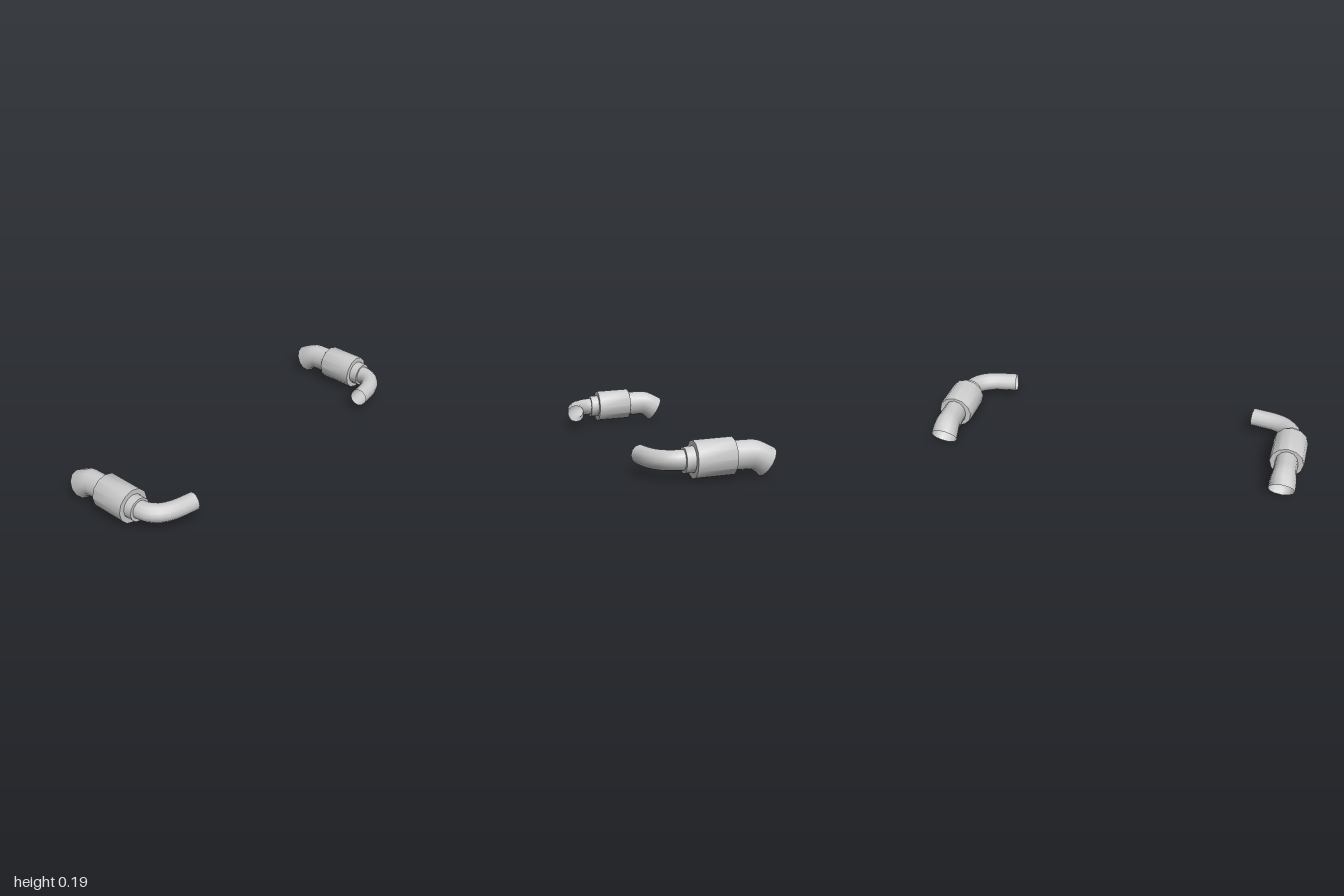
import * as THREE from 'three';
import { toCreasedNormals } from 'three/addons/utils/BufferGeometryUtils.js';

const SIDES = 12;
const AXIS_X = 0.909; // distance of each silencer from the centre line
const material = new THREE.MeshStandardMaterial({ color: 0xcccccc, side: THREE.DoubleSide });

// Skin a row of elliptical rings { c, u, v }; side -1 mirrors the result in x
function loft(name, rings, side) {
  const positions = [], index = [];
  for (const { c, u, v } of rings) {
    for (let j = 0; j < SIDES; j++) {
      const a = side * j / SIDES * Math.PI * 2;
      const p = c.clone().addScaledVector(u, Math.cos(a)).addScaledVector(v, Math.sin(a));
      positions.push(p.x * side, p.y, p.z);
    }
  }
  for (let i = 0; i < rings.length - 1; i++) {
    for (let j = 0; j < SIDES; j++) {
      const k = (j + 1) % SIDES;
      const a = i * SIDES + j, b = i * SIDES + k;
      index.push(a, a + SIDES, b + SIDES, a, b + SIDES, b);
    }
  }
  const geometry = new THREE.BufferGeometry();
  geometry.setAttribute('position', new THREE.Float32BufferAttribute(positions, 3));
  geometry.setIndex(index);
  const mesh = new THREE.Mesh(toCreasedNormals(geometry, 0.75), material);
  mesh.name = name;
  return mesh;
}

// Ring across the silencer axis, from its top and bottom points (z, y) and half width
function ring(topZ, topY, bottomZ, bottomY, halfWidth) {
  return {
    c: new THREE.Vector3(AXIS_X, (topY + bottomY) / 2, (topZ + bottomZ) / 2),
    u: new THREE.Vector3(halfWidth, 0, 0),
    v: new THREE.Vector3(0, (topY - bottomY) / 2, (topZ - bottomZ) / 2),
  };
}
const upright = (z, y, r) => ring(z, y + r, z, y - r, r);

// Inlet pipe: starts open near the centre line and bends back into the collar
function inletRings() {
  const curve = new THREE.CatmullRomCurve3([
    [0.68, 0.088, 0.269], [0.735, 0.088, 0.26], [0.8, 0.089, 0.247], [0.862, 0.091, 0.217],
    [0.899, 0.094, 0.17], [0.907, 0.095, 0.125], [0.908, 0.096, 0.09],
  ].map((p) => new THREE.Vector3(...p)));
  const up = new THREE.Vector3(0, 1, 0);
  const rings = [];
  for (let i = 0; i <= 12; i++) {
    const d = curve.getTangent(i / 12).setY(0).normalize();
    const r = 0.048 + 0.002 * i / 12;
    rings.push({
      c: curve.getPoint(i / 12),
      u: d.cross(up).multiplyScalar(r - 0.001),
      v: up.clone().multiplyScalar(r),
    });
  }
  return rings;
}

function exhaust(side) {
  const group = new THREE.Group();
  group.name = side > 0 ? 'leftExhaust' : 'rightExhaust';

  group.add(loft('inletPipe', inletRings(), side));

  // Stepped collar in front of the silencer
  group.add(loft('collar', [
    upright(0.13, 0.0945, 0.047), upright(0.13, 0.0945, 0.063), upright(0.08, 0.0965, 0.064),
  ], side));

  // Silencer drum, tilted slightly upward to the rear
  group.add(loft('silencer', [
    upright(0.085, 0.0955, 0.058), upright(0.085, 0.0955, 0.091),
    upright(-0.104, 0.103, 0.091), upright(-0.108, 0.103, 0.088), upright(-0.108, 0.103, 0.056),
  ], side));

  // Tail pipe turned down and cut off at a slant, open at the end
  group.add(loft('tailPipe', [
    ring(-0.1, 0.175, -0.1, 0.032, 0.06),
    ring(-0.195, 0.176, -0.195, 0.033, 0.061),
    ring(-0.218, 0.174, -0.204, 0.032, 0.063),
    ring(-0.24, 0.169, -0.214, 0.028, 0.066),
    ring(-0.28, 0.151, -0.228, 0.018, 0.069),
    ring(-0.322, 0.128, -0.244, 0, 0.069),
  ], side));

  return group;
}

export function createModel() {
  const model = new THREE.Group();
  model.name = 'exhaustPair';
  for (const side of [1, -1]) model.add(exhaust(side));
  return model;
}
